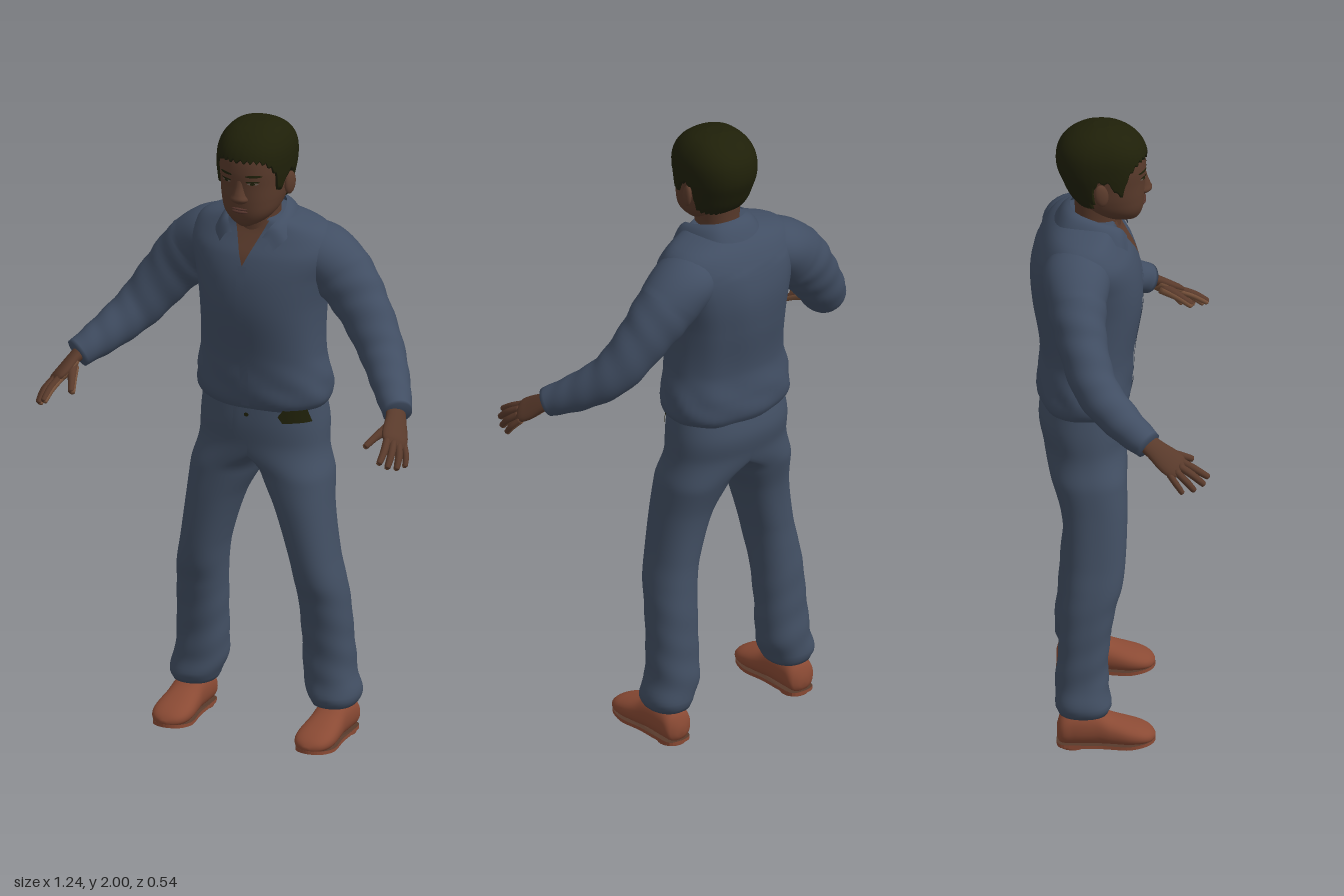
import * as THREE from 'three';

const mat = (name, color, side = THREE.FrontSide) => {
  const m = new THREE.MeshStandardMaterial({ color, side });
  m.name = name;
  return m;
};
const V = (x, y, z) => new THREE.Vector3(x, y, z);

// Smooth lookup in a table of [key, ...values]
function at(table, key) {
  const last = table.length - 1;
  let i = 0;
  while (i < last - 1 && key > table[i + 1][0]) i++;
  const p = table[i], q = table[i + 1], o = table[Math.max(i - 1, 0)], r = table[Math.min(i + 2, last)];
  const h = q[0] - p[0], t = THREE.MathUtils.clamp((key - p[0]) / h, 0, 1);
  return p.slice(1).map((a, k) => {
    const b = q[k + 1];
    const m0 = (b - o[k + 1]) / (q[0] - o[0]) * h, m1 = (r[k + 1] - a) / (r[0] - p[0]) * h;
    return (2 * t ** 3 - 3 * t * t + 1) * a + (t ** 3 - 2 * t * t + t) * m0
      + (3 * t * t - 2 * t ** 3) * b + (t ** 3 - t * t) * m1;
  });
}

// Surface from fn(u, v); a closed one wraps in u and is capped at both ends
function grid(fn, nu, nv, closed) {
  const pos = [], idx = [], cols = closed ? nu : nu + 1;
  for (let j = 0; j <= nv; j++) for (let i = 0; i < cols; i++) pos.push(...fn(i / nu, j / nv).toArray());
  for (let j = 0; j < nv; j++) for (let i = 0; i < nu; i++) {
    const k = (i + 1) % cols, a = j * cols + i, b = j * cols + k;
    idx.push(a, b, b + cols, a, b + cols, a + cols);
  }
  if (closed) for (const j of [0, nv]) {
    const c = V(0, 0, 0), n = pos.length / 3;
    for (let i = 0; i < cols; i++) c.add(V(...pos.slice((j * cols + i) * 3, (j * cols + i) * 3 + 3)));
    pos.push(...c.divideScalar(cols).toArray());
    for (let i = 0; i < cols; i++) {
      const a = j * cols + i, b = j * cols + (i + 1) % cols;
      idx.push(...(j ? [a, b, n] : [b, a, n]));
    }
  }
  const g = new THREE.BufferGeometry();
  g.setAttribute('position', new THREE.Float32BufferAttribute(pos, 3));
  g.setIndex(idx);
  g.computeVertexNormals();
  return g;
}

// Point on an upright body: table rows are [y, centre x, half width, front z, back z]
const POW = 2.25;
const sp = c => Math.sign(c) * Math.abs(c) ** (2 / POW);
function ringPoint(table, a, y, off = 0, k = 1) {
  const [cx, rx, zf, zb] = at(table, y);
  return V(cx + (rx * k + off) * sp(Math.sin(a)), y, (zf + zb) / 2 + ((zf - zb) / 2 * k + off) * sp(Math.cos(a)));
}
function column(table, nv = 48, fold = () => 1) {
  const y0 = table[0][0], y1 = table[table.length - 1][0];
  return grid((u, v) => {
    const a = u * Math.PI * 2, y = y0 + (y1 - y0) * v;
    return ringPoint(table, a, y, 0, fold(a, y));
  }, 48, nv, true);
}
// Thin panel lying on the front of an upright body
function panel(table, y0, y1, xl, xr, off) {
  return grid((u, v) => {
    const y = y0 + (y1 - y0) * v, x = xl(v) + (xr(v) - xl(v)) * u;
    const [cx, rx, zf, zb] = at(table, y);
    const d = Math.min(Math.abs((x - cx) / rx), 1);
    return V(x, y, (zf + zb) / 2 + (zf - zb) / 2 * (1 - d ** POW) ** (1 / POW) + off);
  }, 12, 12, false);
}
const oval = (table, x, y, w, h, off) => {
  const r = v => w * Math.sqrt(Math.max(0, 1 - (2 * v - 1) ** 2));
  return panel(table, y - h, y + h, v => x - r(v), v => x + r(v), off);
};
// Limb along points [x, y, z, thickness, width]; width lies along ref
function limb(points, s = 1, ref = V(0, 0, 1), nu = 24, nv = 36, fold = () => 1) {
  const curve = new THREE.CatmullRomCurve3(points.map(p => V(p[0] * s, p[1], p[2])));
  const radii = points.map((p, i) => [i / (points.length - 1), p[3], p[4] ?? p[3]]);
  return grid((u, t) => {
    const w = curve.getTangent(t), v = ref.clone().addScaledVector(w, -ref.dot(w)).normalize();
    const side = w.clone().cross(v), a = u * Math.PI * 2, [ru, rv] = at(radii, t), k = fold(a, t);
    return curve.getPoint(t).addScaledVector(side, ru * k * Math.sin(a)).addScaledVector(v, rv * k * Math.cos(a));
  }, nu, nv, true);
}

const HEAD = [[1.685, 0, .022, .05, -.01], [1.7, 0, .052, .062, -.06], [1.73, 0, .08, .073, -.1],
  [1.77, 0, .094, .077, -.14], [1.82, 0, .101, .078, -.165], [1.87, 0, .106, .08, -.183], [1.92, 0, .104, .072, -.18],
  [1.955, 0, .09, .05, -.16], [1.98, 0, .066, .015, -.125], [1.992, 0, .038, -.02, -.09], [1.997, 0, .01, -.045, -.065]];
const TORSO = [[1.065, 0, .185, .015, -.23], [1.1, 0, .212, .035, -.248], [1.16, 0, .213, .04, -.248],
  [1.25, 0, .196, .046, -.24], [1.4, 0, .196, .07, -.263], [1.5, 0, .212, .067, -.27], [1.58, 0, .233, .045, -.257],
  [1.63, 0, .222, .015, -.235], [1.665, 0, .185, -.005, -.21], [1.695, 0, .09, -.01, -.175]];
const PELVIS = [[.84, 0, .21, .02, -.205], [.94, 0, .206, .023, -.23], [1.02, 0, .204, .026, -.245], [1.1, 0, .194, .02, -.23]];
const LEG = [[.112, .234, .066, -.035, -.185], [.14, .234, .08, -.025, -.194], [.2, .217, .081, -.033, -.196],
  [.3, .212, .078, -.033, -.187], [.45, .205, .076, -.012, -.177], [.52, .197, .075, .008, -.17],
  [.6, .182, .074, .018, -.166], [.75, .148, .088, .024, -.177], [.87, .114, .112, .022, -.212],
  [.97, .104, .106, .024, -.236], [1.1, .1, .1, .02, -.23]];
const SHOE = [[-.19, .018, .07, .03], [-.18, .043, .1, .014], [-.14, .05, .125, .01], [-.07, .052, .125, .01],
  [-.025, .057, .102, .01], [.03, .062, .083, .01], [.07, .056, .069, .013], [.097, .037, .054, .019], [.108, .012, .041, .027]];
// Hairline height against angle from the face centre
const HAIRLINE = [[0, 1.904], [.6, 1.902], [.85, 1.885], [1.05, 1.855], [1.2, 1.8], [1.35, 1.81],
  [1.5, 1.845], [1.75, 1.835], [1.95, 1.765], [2.4, 1.745], [3.2, 1.74]];

export function createModel() {
  const root = new THREE.Group();
  const both = THREE.DoubleSide;
  const shirt = mat('shirt blue', 0x414e63, both), denim = mat('trouser blue', 0x424f63);
  const skin = mat('skin', 0x593a2b), palmSkin = mat('palm skin', 0x76513a), lip = mat('lips', 0x53332b);
  const hair = mat('hair', 0x1f2009, both), eyeMat = mat('eye white', 0x6b5c52);
  const leather = mat('shoe leather', 0x8a4a34), soleMat = mat('sole', 0x573a2c);
  const add = (name, geo, m, parent = root) => {
    const mesh = new THREE.Mesh(geo, m);
    mesh.name = name;
    parent.add(mesh);
    return mesh;
  };

  // Head, neck and face
  add('head', column(HEAD, 60), skin);
  add('neck', column([[1.6, 0, .075, .005, -.15], [1.68, 0, .064, .004, -.135], [1.78, 0, .066, .01, -.14]], 12), skin);
  add('hair', grid((u, v) => {
    const a = u * Math.PI * 2, edge = at(HAIRLINE, Math.min(a, Math.PI * 2 - a))[0] + .006 * Math.sin(a * 37);
    const y = edge + (1.996 - edge) * Math.sin(v * Math.PI / 2);
    const p = ringPoint(HEAD, a, y, v === 0 ? -.005 : .009);
    p.y += .004 * v;
    return p;
  }, 150, 36, true), hair);
  add('nose', column([[1.766, 0, .01, .078, .05], [1.773, 0, .024, .088, .04], [1.784, 0, .029, .099, .04],
    [1.797, 0, .022, .095, .04], [1.82, 0, .017, .086, .04], [1.85, 0, .015, .078, .04]], 20), skin);
  for (const [name, y, h] of [['upperLip', 1.75, .005], ['lowerLip', 1.741, .006]]) {
    const m = add(name, new THREE.SphereGeometry(1, 20, 12), lip);
    m.scale.set(.028, h, .011);
    m.position.set(0, y, .07);
  }
  for (const s of [1, -1]) {
    add('eye', oval(HEAD, s * .044, 1.838, .016, .004, .003), eyeMat);
    add('iris', oval(HEAD, s * .044, 1.838, .007, .004, .0045), hair);
    add('eyelid', oval(HEAD, s * .044, 1.844, .02, .003, .005), hair);
    add('eyebrow', oval(HEAD, s * .046, 1.862, .024, .004, .003), hair);
    const ear = add('ear', new THREE.SphereGeometry(1, 16, 14), skin);
    ear.scale.set(.012, .036, .022);
    ear.position.set(s * .108, 1.81, -.055);
    ear.rotation.set(-.15, s * -.3, 0);
  }

  // Shirt body with loose folds at the back and a gathered hem
  add('shirtBody', column(TORSO, 70, (a, y) => {
    const back = (1 - Math.cos(a)) / 2, hem = Math.max(0, 1 - Math.abs(y - 1.14) / .12);
    return 1 + .012 * back * back * Math.sin(a * 9 + y * 4) * (y < 1.6 ? 1 : 0) + .014 * hem * Math.sin(a * 7 + y * 50);
  }), shirt);
  add('openNeck', panel(TORSO, 1.555, 1.69, v => -.058 * v, v => .058 * v, .005), skin);
  add('placket', panel(TORSO, 1.09, 1.555, () => -.014, () => .014, .003), shirt);
  // Folded collar between an upper and a lower edge
  const edge = half => new THREE.CatmullRomCurve3([
    ...half.slice(1).reverse().map(p => V(-p[0], p[1], p[2])), ...half.map(p => V(...p))]);
  const top = edge([[0, 1.73, -.15], [.058, 1.725, -.13], [.084, 1.705, -.06], [.072, 1.68, .002], [.05, 1.645, .022]]);
  const low = edge([[0, 1.672, -.2], [.085, 1.672, -.175], [.122, 1.663, -.08], [.118, 1.64, -.002], [.09, 1.61, .026]]);
  add('collar', grid((u, v) => {
    const p = low.getPoint(u).lerp(top.getPoint(u), v);
    p.y += .012 * Math.sin(v * Math.PI);
    return p;
  }, 48, 8, false), shirt);

  // Waist details
  add('waistButton', oval(PELVIS, 0, 1.058, .008, .006, .004), hair);
  add('beltPatch', panel(PELVIS, 1.043, 1.083, v => .1 + .014 * Math.abs(2 * v - 1), v => .188 - .012 * v, .006), hair);

  for (const s of [1, -1]) {
    const side = new THREE.Group();
    side.name = s > 0 ? 'leftLimbs' : 'rightLimbs';
    root.add(side);
    // Trouser leg, blending above the crotch into its half of the seat
    const leg = LEG.map(r => [r[0], r[1] * s, ...r.slice(2)]);
    add('trouserLeg', grid((u, v) => {
      const a = u * Math.PI * 2, y = .112 + .988 * v;
      const fold = 1 + .03 * Math.max(0, 1 - y / .55) * Math.sin(y * 62 + s * a * 2) * (y > .13 ? 1 : 0);
      const seat = ringPoint(PELVIS, a, y);
      seat.x = s * Math.max(seat.x * s, -.05);
      return ringPoint(leg, a, y, 0, fold).lerp(seat, THREE.MathUtils.smoothstep(y, .85, .97));
    }, 64, 84, true), denim, side);

    // Sleeve and cuff
    add('sleeve', limb([[.08, 1.58, -.125, .06, .075], [.17, 1.573, -.13, .088, .104], [.255, 1.503, -.129, .096, .09],
      [.33, 1.413, -.112, .084, .076], [.41, 1.305, -.07, .072, .068], [.48, 1.233, .008, .059], [.54, 1.183, .088, .045]],
    s, V(0, 0, 1), 32, 60, (a, t) => 1 + .02 * Math.sin(t * 55 + a * 2) * (t > .3 ? 1 : 0)), shirt, side);

    // Hand, with the width running from index to little finger and a paler inner half
    const across = V(.65 * s, -.4, -.66);
    const inner = p => [p[0] - .003, p[1] - .003, p[2] - .001, p[3] * .92, (p[4] ?? p[3]) * .92];
    const palm = [[.53, 1.19, .08, .022, .032], [.545, 1.17, .11, .019, .035], [.559, 1.144, .145, .019, .043],
      [.57, 1.128, .17, .016, .042], [.577, 1.118, .188, .006, .028]];
    add('hand', limb(palm, s, across, 20, 20), skin, side);
    add('palm', limb(palm.slice(1).map(inner), s, across, 20, 16), palmSkin, side);
    const fingers = [[[.552, 1.138, .183], [.563, 1.115, .228], [.566, 1.09, .268]],
      [[.57, 1.13, .178], [.583, 1.105, .22], [.587, 1.075, .255]],
      [[.583, 1.12, .168], [.599, 1.093, .2], [.604, 1.063, .226]],
      [[.592, 1.112, .15], [.609, 1.086, .172], [.615, 1.06, .19]],
      [[.537, 1.155, .13], [.512, 1.135, .182], [.496, 1.115, .22]]];
    fingers.forEach(([a, b, c], i) => {
      const r = [.0115, .0115, .011, .0095, .0125][i], tip = c.map((k, n) => k + (k - b[n]) * .08);
      const bones = [[...a, i < 4 ? r : .02], [...b, r], [...c, r * .75], [...tip, r * .2]];
      const name = i < 4 ? 'finger' : 'thumb';
      add(name, limb(bones, s, across, 12, 16), skin, side);
      add(name + 'Pad', limb(bones.map(inner), s, across, 12, 16), palmSkin, side);
    });

    // Shoe upper, then a sole and heel with leather edges
    const cx = .24 * s;
    add('shoe', grid((u, v) => {
      const z = -.19 + .298 * v, a = u * Math.PI * 2, [hw, yt, yb] = at(SHOE, z);
      return V(cx - hw * sp(Math.sin(a)), (yt + yb) / 2 + (yt - yb) / 2 * sp(Math.cos(a)), z);
    }, 32, 40, true), leather, side);
    const outline = new THREE.Shape(new THREE.SplineCurve([[0, -.192], [.04, -.18], [.047, -.12], [.049, -.05], [.059, .02],
      [.053, .07], [.033, .098], [0, .109], [-.033, .098], [-.053, .07], [-.059, .02], [-.049, -.05], [-.047, -.12],
      [-.04, -.18], [0, -.192]].map(p => new THREE.Vector2(...p))).getPoints(56));
    const sole = new THREE.ExtrudeGeometry(outline, { depth: .011, bevelEnabled: false }).rotateX(Math.PI / 2);
    sole.translate(cx, .018, 0);
    const p = sole.attributes.position;
    for (let i = 0; i < p.count; i++) p.setY(i, p.getY(i) + .14 * Math.max(0, p.getZ(i) - .03));
    sole.computeVertexNormals();
    add('sole', sole, [soleMat, leather], side);
    const heel = add('heel', new THREE.CylinderGeometry(.046, .044, .018, 28), [leather, soleMat, soleMat], side);
    heel.position.set(cx, .009, -.142);
  }
  return root;
}
